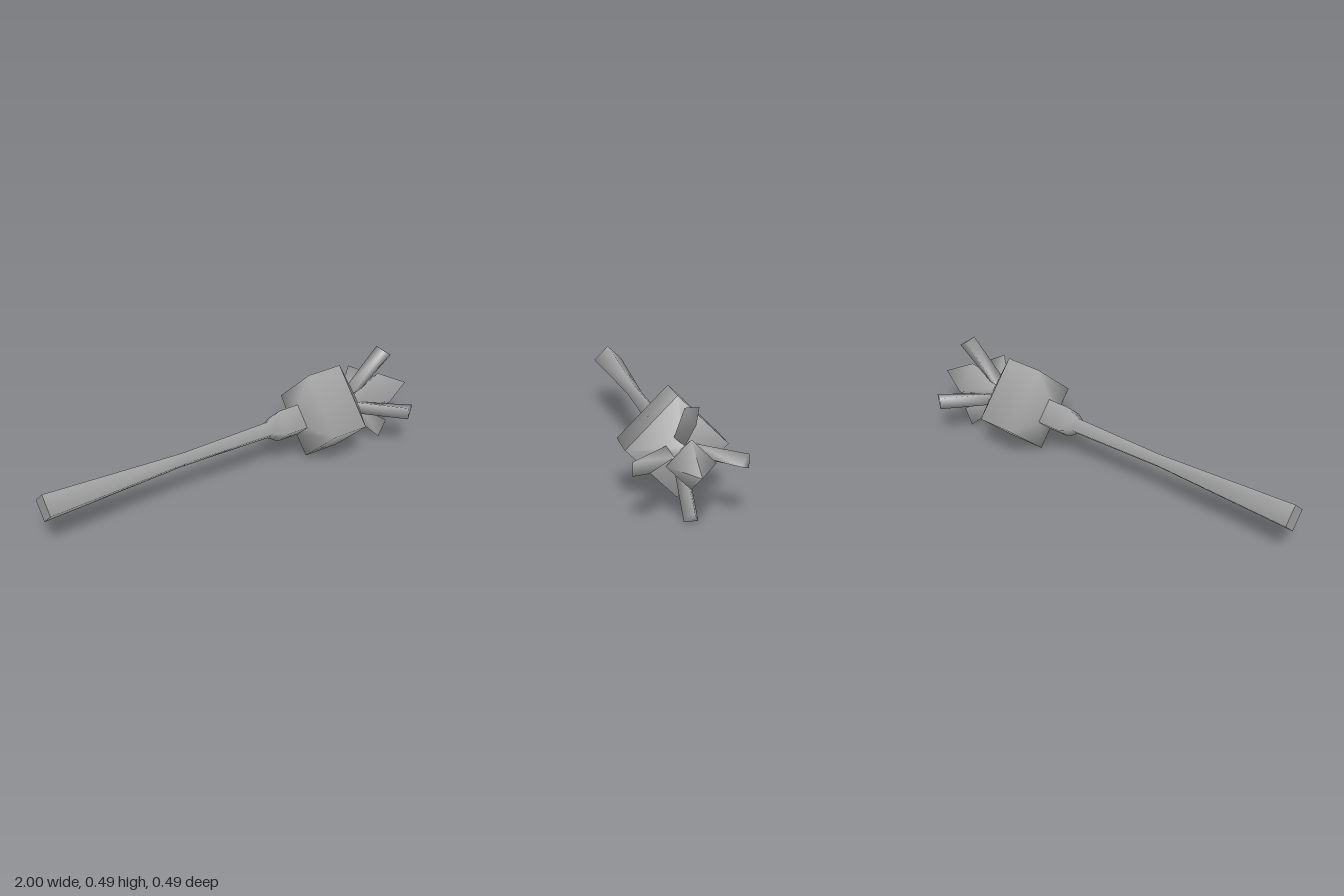
import * as THREE from 'three';

export function createModel() {
  const group = new THREE.Group();
  const steel = new THREE.MeshStandardMaterial({ color: 0xa6a6a6 });
  steel.name = 'grey steel';
  const axisY = 0.25;

  // Four-sided turned part along x, from [x, radius] pairs
  function turned(name, profile) {
    const points = profile.map(([x, r]) => new THREE.Vector2(r, x));
    const geometry = new THREE.LatheGeometry(points, 4).rotateZ(-Math.PI / 2);
    const mesh = new THREE.Mesh(geometry, steel);
    mesh.name = name;
    mesh.position.y = axisY;
    group.add(mesh);
  }

  // Flared handle with a closed end, running into the collar and the head
  turned('handleEnd', [[-1, 0], [-1, 0.074]]);
  turned('handle', [[-1, 0.074], [-0.3, 0.037], [0.17, 0.046], [0.23, 0.085], [0.34, 0.085]]);
  turned('head', [[0.34, 0.085], [0.4, 0.228], [0.58, 0.228]]);
  turned('headFront', [[0.58, 0.228], [0.68, 0.03]]);
  turned('tipSpike', [[0.67, 0.025], [0.82, 0.108], [1, 0]]);

  // Triangular prongs: flat side outward, ridge toward the spike
  const w = 0.031;
  const section = (ox, oy, ix, iy) => [ox, oy, w, ix, iy, 0, ox, oy, -w];
  const prong = new THREE.BufferGeometry();
  prong.setAttribute('position', new THREE.Float32BufferAttribute([
    ...section(0.645, 0.065, 0.713, 0.045),
    ...section(0.825, 0.246, 0.893, 0.19),
  ], 3));
  const faces = [0, 2, 1, 3, 4, 5];
  for (let i = 0; i < 3; i++) {
    const j = (i + 1) % 3;
    faces.push(i, j, j + 3, i, j + 3, i + 3);
  }
  prong.setIndex(faces);
  prong.computeVertexNormals();

  for (let k = 0; k < 4; k++) {
    const mesh = new THREE.Mesh(prong, steel);
    mesh.name = 'prong' + (k + 1);
    mesh.position.y = axisY;
    mesh.rotation.x = k * Math.PI / 2;
    group.add(mesh);
  }
  return group;
}
